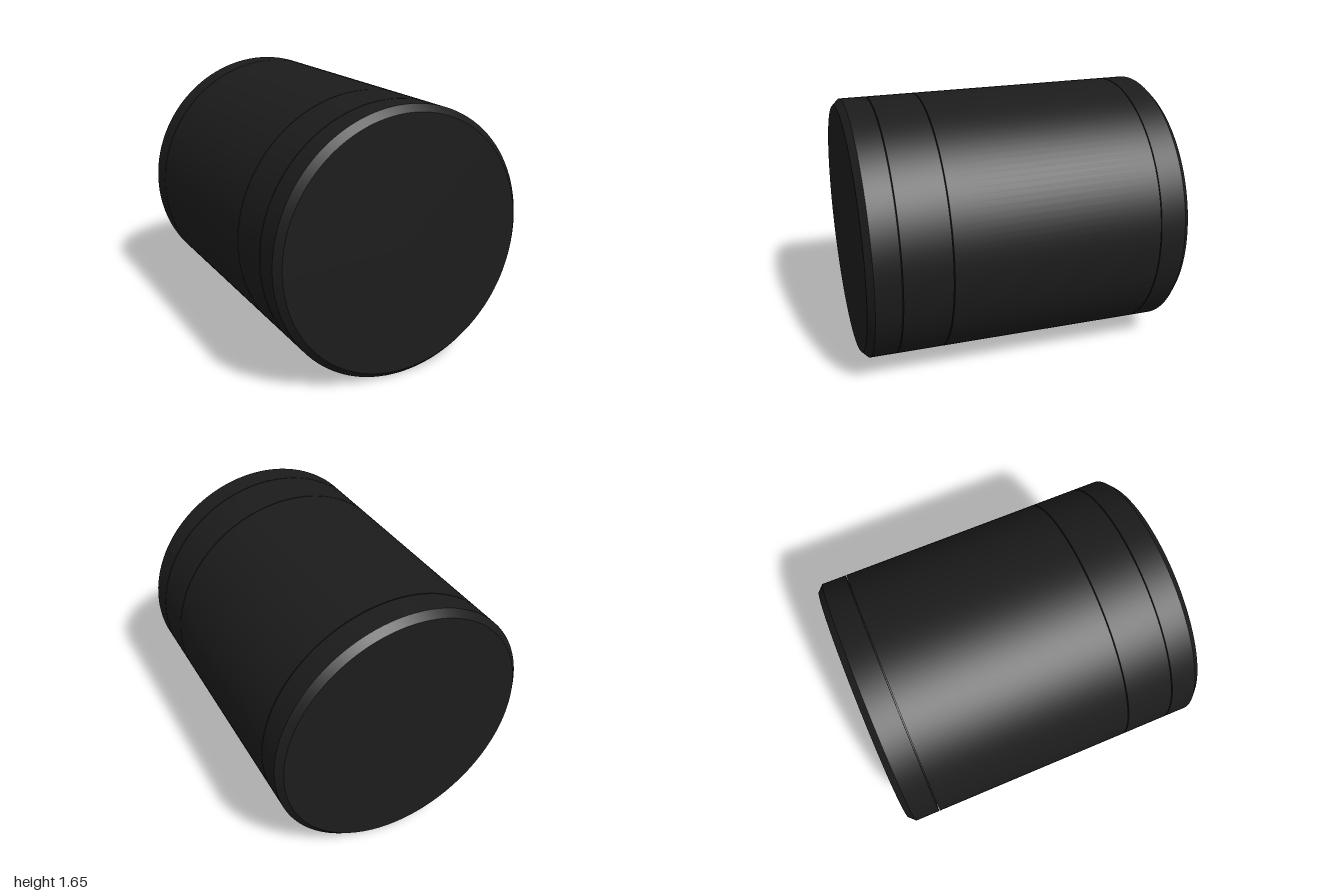
import * as THREE from 'three';
import { toCreasedNormals } from 'three/addons/utils/BufferGeometryUtils.js';

const R = 0.825;        // outer radius
const FLOOR = 0.775;    // radius at the bottom of the grooves
const CHAMFER = 0.04;
const GAP = 0.003;      // half width of a groove
const GROOVES = { rearGroove: -0.8, middleGroove: 0.5, frontGroove: 0.8 };

export function createModel() {
  const group = new THREE.Group();
  group.name = 'groovedCylinder';
  const material = new THREE.MeshStandardMaterial({ color: 0x1c1c1c });

  // Turn a [radius, z] profile about the z axis, keeping hard edges
  function turned(name, profile) {
    const points = profile.map(([r, z]) => new THREE.Vector2(r, z));
    const geometry = toCreasedNormals(new THREE.LatheGeometry(points, 128), 0.5);
    geometry.rotateX(Math.PI / 2);
    geometry.translate(0, R, 0);
    const mesh = new THREE.Mesh(geometry, material);
    mesh.name = name;
    group.add(mesh);
  }

  const { rearGroove, middleGroove, frontGroove } = GROOVES;

  // Chamfered end caps
  turned('rearCap', [
    [0, -1], [R - CHAMFER, -1], [R, -1 + CHAMFER],
    [R, rearGroove - GAP], [FLOOR, rearGroove - GAP],
  ]);
  turned('frontCap', [
    [FLOOR, frontGroove + GAP], [R, frontGroove + GAP],
    [R, 1 - CHAMFER], [R - CHAMFER, 1], [0, 1],
  ]);

  // Plain sleeves between the grooves
  const sleeve = (name, z0, z1) => turned(name, [
    [FLOOR, z0 + GAP], [R, z0 + GAP], [R, z1 - GAP], [FLOOR, z1 - GAP],
  ]);
  sleeve('mainBody', rearGroove, middleGroove);
  sleeve('frontBand', middleGroove, frontGroove);

  // Groove floors
  for (const [name, z] of Object.entries(GROOVES)) {
    turned(name, [[FLOOR, z - GAP], [FLOOR, z + GAP]]);
  }

  return group;
}
